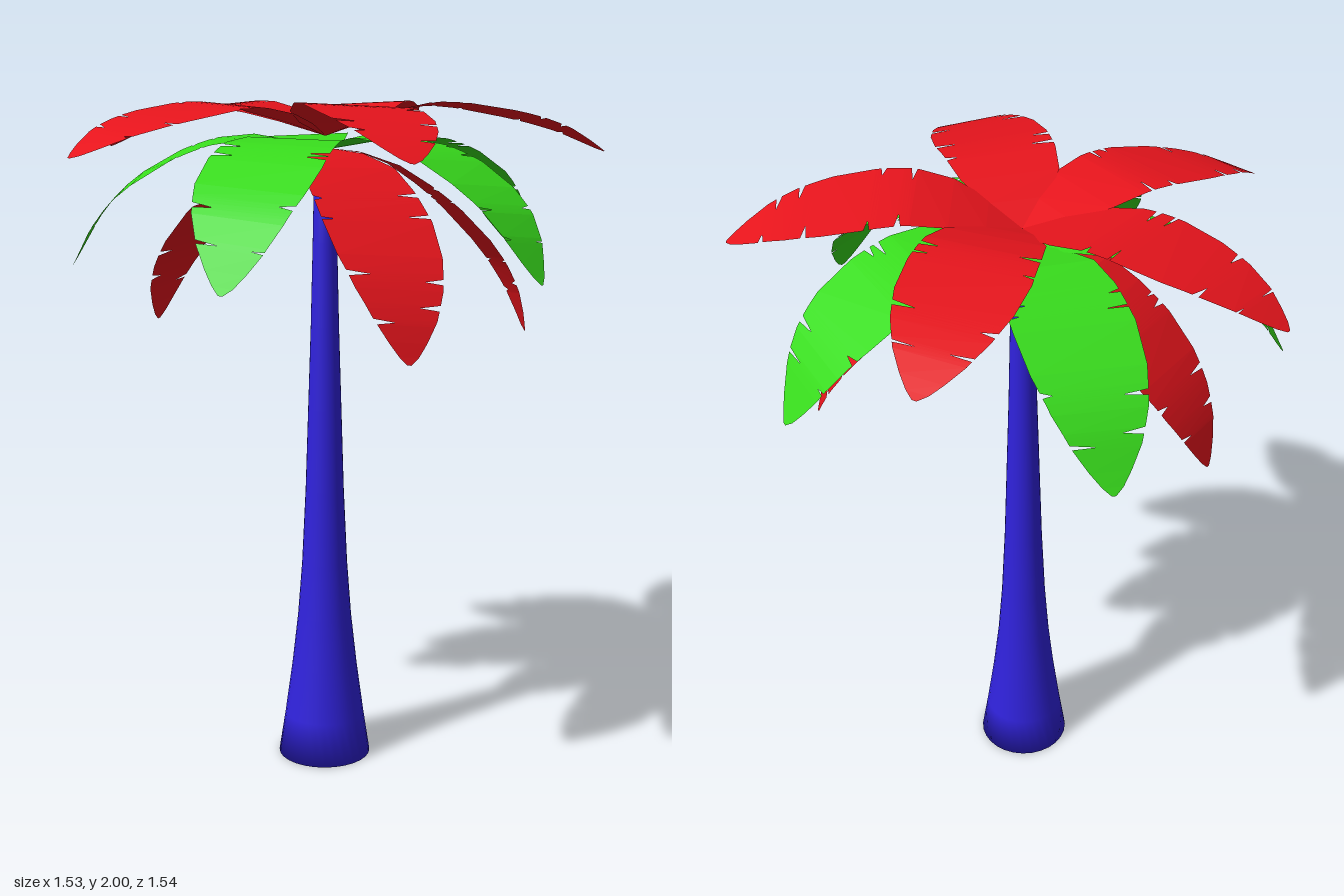
import * as THREE from 'three';

const CENTRE = 0.03;
const RED = 0xe6141c, GREEN = 0x38dc1c, BLUE = 0x3022dc;

// Frond outline: [position along the length, half-width on the -z side, half-width on the +z side]
const OUTLINE = [[0, 0.004, 0.004], [0.12, 0.075, 0.1], [0.24, 0.13, 0.15], [0.36, 0.15, 0.163], [0.5, 0.163, 0.165],
  [0.64, 0.155, 0.155], [0.76, 0.13, 0.128], [0.86, 0.095, 0.092], [0.93, 0.058, 0.056], [0.975, 0.03, 0.028],
  [1, 0.006, 0.006]];

// Each tier: spine as [distance from trunk, height], and the fronds' directions in degrees
const TIERS = [
  { name: 'topFrond', color: RED, angles: [-98.5, -25.5, 50, 120, 188],
    spine: [[0, 1.905], [0.13, 1.955], [0.3, 1.993], [0.5, 1.972], [0.68, 1.925], [0.81, 1.86]] },
  { name: 'middleFrond', color: GREEN, angles: [86, 13, -57.5, -135, 155],
    spine: [[0, 1.865], [0.12, 1.89], [0.26, 1.9], [0.46, 1.835], [0.63, 1.71], [0.742, 1.53]] },
  { name: 'lowerFrond', color: RED, angles: [42, -30, 184],
    spine: [[0, 1.87], [0.15, 1.845], [0.33, 1.73], [0.48, 1.58], [0.56, 1.45], [0.6, 1.33]] },
];

function seeded(seed) {
  let s = seed;
  return () => (s = (s * 16807) % 2147483647) / 2147483647;
}

// Half-width of one side (1 or 2) at position t
function halfWidth(t, side) {
  let i = 1;
  while (i < OUTLINE.length - 1 && OUTLINE[i][0] < t) i++;
  const a = OUTLINE[i - 1], b = OUTLINE[i];
  return THREE.MathUtils.mapLinear(t, a[0], b[0], a[side], b[side]);
}

// A drooping, slightly twisted strip along +x whose edges are torn by narrow V-shaped notches
function frondGeometry(spine, rand) {
  const curve = new THREE.CatmullRomCurve3(spine.map(([r, y]) => new THREE.Vector3(r, y, 0)));
  const rows = OUTLINE.map(([t]) => ({ t, cut: [0, 0] }));
  for (const side of [0, 1]) {
    for (const base of [0.4, 0.47, 0.72, 0.84]) {
      const t = base + 0.06 * (rand() - 0.5);
      const cut = [0, 0];
      cut[side] = 0.025 + 0.045 * rand();
      rows.push({ t: t - 0.011, cut: [0, 0] }, { t, cut }, { t: t + 0.008, cut: [0, 0] });
    }
  }
  rows.sort((a, b) => a.t - b.t);

  const skew = 0.03 * (rand() - 0.5);
  const positions = [], index = [];
  rows.forEach(({ t, cut }, i) => {
    const p = curve.getPointAt(t), mid = skew * t ** 3, twist = 0.12 * t;
    const left = cut[0] - halfWidth(t, 1), right = halfWidth(t, 2) - cut[1];
    positions.push(p.x, p.y + twist * left, mid + left, p.x, p.y + twist * right, mid + right);
    if (i) {
      const a = 2 * i - 2;
      index.push(a, a + 1, a + 3, a, a + 3, a + 2);
    }
  });
  const geometry = new THREE.BufferGeometry();
  geometry.setAttribute('position', new THREE.Float32BufferAttribute(positions, 3));
  geometry.setIndex(index);
  geometry.computeVertexNormals();
  return geometry;
}

export function createModel() {
  const model = new THREE.Group();
  model.name = 'palmTree';

  // Flared trunk with a closed base
  const profile = [[0, 0], [0.142, 0], [0.122, 0.13], [0.1, 0.29], [0.082, 0.45], [0.069, 0.62], [0.058, 0.85],
    [0.05, 1.1], [0.042, 1.35], [0.036, 1.6], [0.031, 1.86], [0, 1.86]];
  const trunk = new THREE.Mesh(
    new THREE.LatheGeometry(profile.map(([r, y]) => new THREE.Vector2(r, y)), 28),
    new THREE.MeshStandardMaterial({ color: BLUE }));
  trunk.name = 'trunk';
  trunk.position.set(CENTRE, 0, CENTRE);
  model.add(trunk);

  // Crown of fronds in three tiers
  const rand = seeded(4217);
  for (const { name, color, angles, spine } of TIERS) {
    const material = new THREE.MeshStandardMaterial({ color, flatShading: true, side: THREE.DoubleSide });
    const tier = new THREE.Group();
    tier.name = name + 's';
    tier.position.set(CENTRE, 0, CENTRE);
    for (const angle of angles) {
      const frond = new THREE.Mesh(frondGeometry(spine, rand), material);
      frond.name = name;
      frond.rotation.y = -THREE.MathUtils.degToRad(angle);
      tier.add(frond);
    }
    model.add(tier);
  }
  return model;
}
